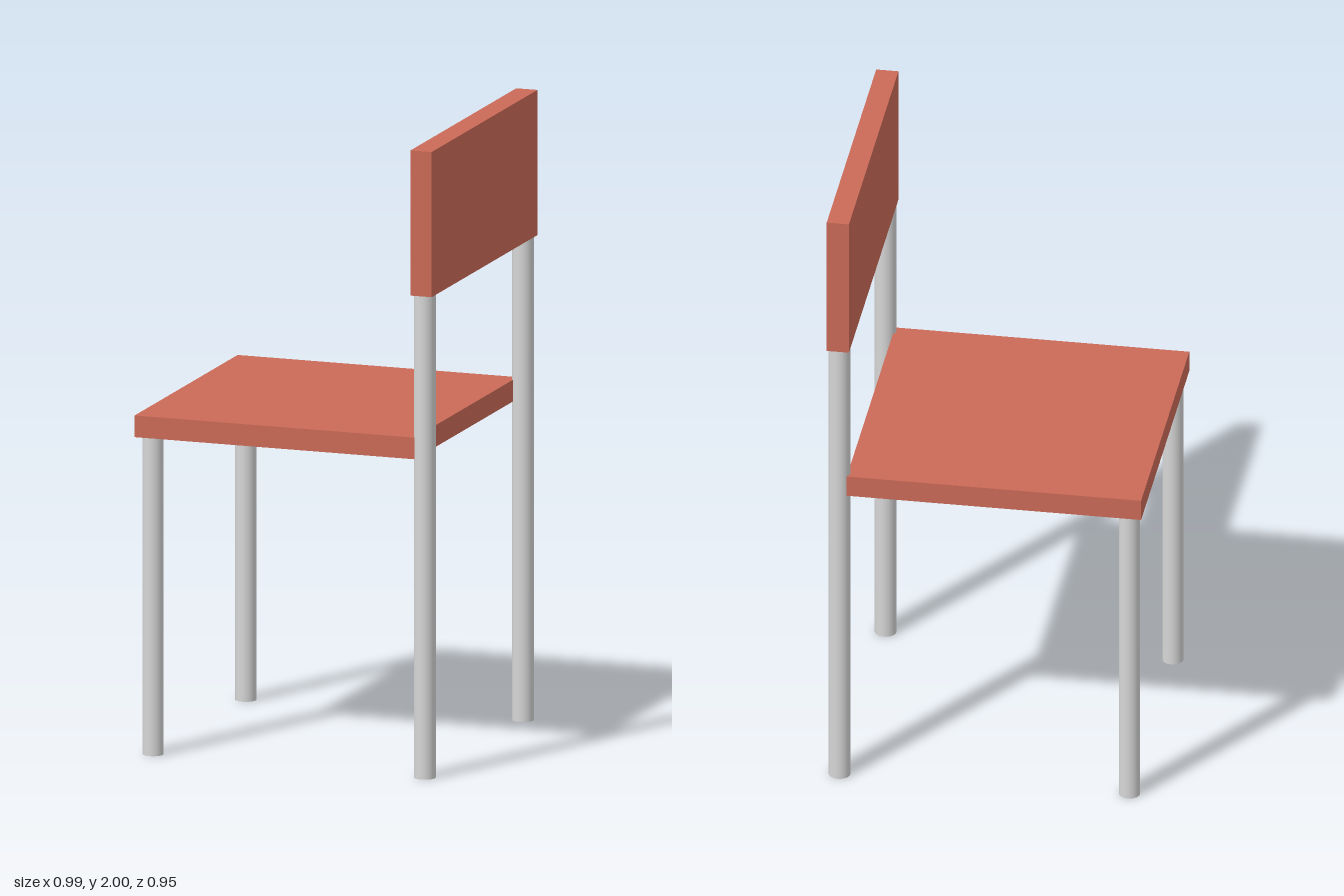
import * as THREE from 'three';

export function createModel() {
  const chair = new THREE.Group();
  chair.name = 'chair';

  const terracotta = new THREE.MeshStandardMaterial({ color: 0xcb6a57 });
  terracotta.name = 'terracotta';
  const lightGrey = new THREE.MeshStandardMaterial({ color: 0xd6d6d6 });
  lightGrey.name = 'lightGrey';

  // Flat board given by its limits in x and y, centred on z
  function board(name, x0, x1, y0, y1, depth) {
    const mesh = new THREE.Mesh(new THREE.BoxGeometry(x1 - x0, y1 - y0, depth), terracotta);
    mesh.position.set((x0 + x1) / 2, (y0 + y1) / 2, 0);
    mesh.name = name;
    chair.add(mesh);
  }

  // Round leg standing on the floor
  function leg(name, x, z, height, radius) {
    const mesh = new THREE.Mesh(new THREE.CylinderGeometry(radius, radius, height, 32), lightGrey);
    mesh.position.set(x, height / 2, z);
    mesh.name = name;
    chair.add(mesh);
  }

  board('seat', -0.494, 0.433, 1.015, 1.084, 0.93);
  board('backrest', 0.424, 0.494, 1.538, 2, 0.955);

  // The short legs carry the seat, the tall posts carry the backrest
  for (const side of [-1, 1]) {
    leg('seatLeg', -0.45, side * 0.418, 1.015, 0.033);
    leg('backPost', 0.459, side * 0.443, 1.538, 0.034);
  }

  return chair;
}
